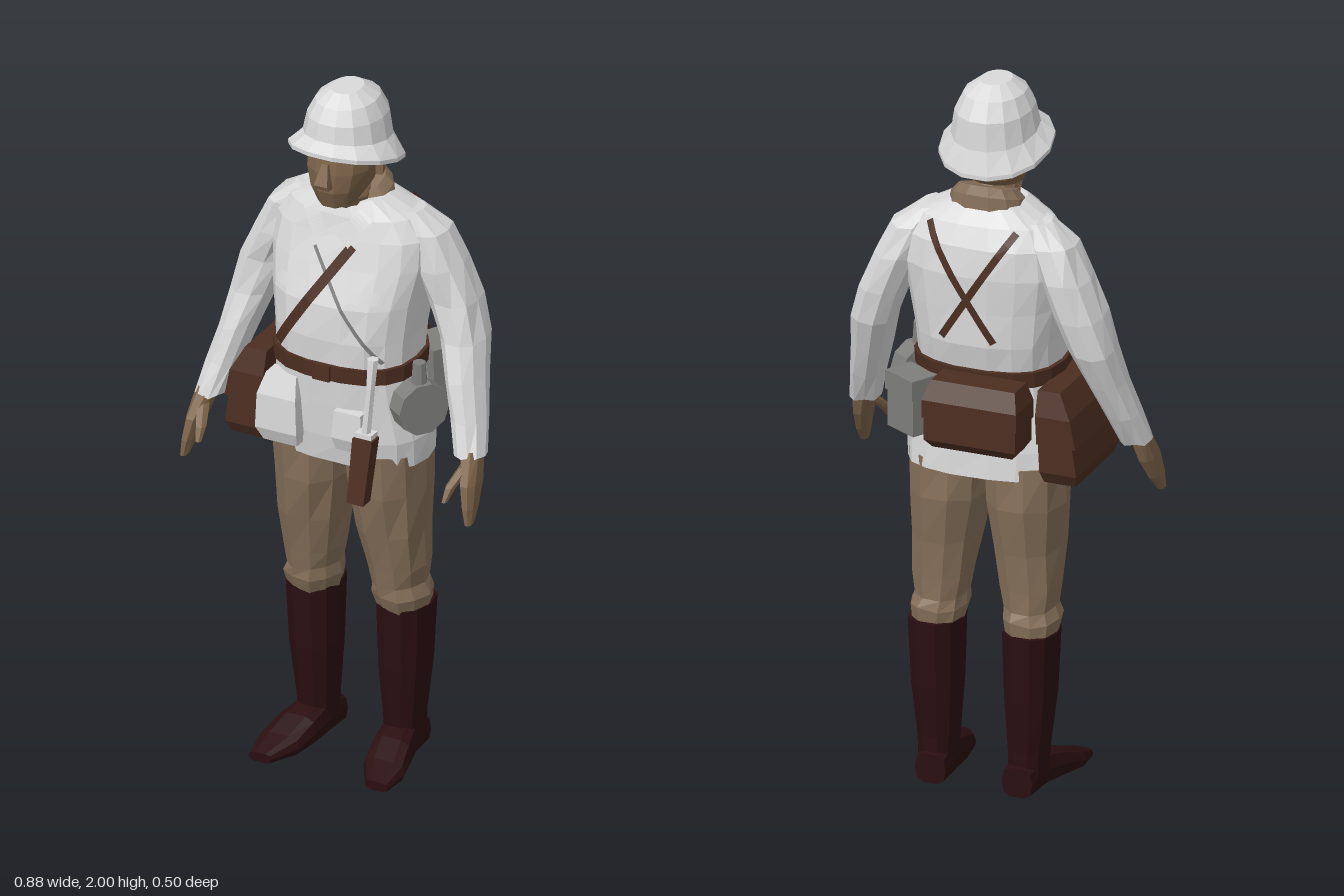
import * as THREE from 'three';

const mat = (name, color) =>
  new THREE.MeshStandardMaterial({ name, color, flatShading: true, side: THREE.DoubleSide });
const M = {
  cloth: mat('white cloth', 0xdadada),
  trousers: mat('khaki trousers', 0x86705a),
  skin: mat('skin', 0x7c6349),
  boots: mat('dark boot leather', 0x2a0e10),
  leather: mat('brown leather', 0x4c2e21),
  grey: mat('grey canvas', 0x7e7e7c),
};

// small repeatable wobble for cloth folds
const wobble = (i, j) => { const s = Math.sin(i * 12.99 + j * 78.23) * 43758.55; return s - Math.floor(s) - 0.5; };

// rings are [x, y, z, halfWidth, halfDepth, slope]; slope raises the ring towards +z
function loft(rings, { n = 10, p = 0.85, folds = 0 } = {}) {
  const pos = [], idx = [], k = n === 4 ? Math.SQRT2 : 1, e = n === 4 ? 1 : p;
  const pw = (v) => Math.sign(v) * Math.abs(v) ** e;
  rings.forEach(([x, y, z, rx, rz, slope = 0], i) => {
    for (let j = 0; j < n; j++) {
      const a = ((j + 0.5) / n) * Math.PI * 2, g = k + folds * wobble(i, j);
      const dz = rz * g * pw(Math.cos(a));
      pos.push(x + rx * g * pw(Math.sin(a)), y + slope * dz + folds * 0.1 * wobble(j, i), z + dz);
    }
  });
  for (let i = 0; i < rings.length - 1; i++) for (let j = 0; j < n; j++) {
    const a = i * n + j, b = i * n + (j + 1) % n;
    idx.push(a, b, b + n, a, b + n, a + n);
  }
  // end caps
  const top = (rings.length - 1) * n;
  for (let j = 1; j < n - 1; j++) idx.push(0, j + 1, j, top, top + j, top + j + 1);
  const g = new THREE.BufferGeometry();
  g.setAttribute('position', new THREE.Float32BufferAttribute(pos, 3));
  g.setIndex(idx);
  const flat = g.toNonIndexed();
  flat.computeVertexNormals();
  return flat;
}

// jacket profile, bottom to top
const TP = 0.8;
const TORSO = [
  [0, 0.92, -0.005, 0.222, 0.145], [0, 1.0, 0.005, 0.228, 0.15], [0, 1.1, 0.015, 0.208, 0.15],
  [0, 1.2, 0.022, 0.195, 0.152], [0, 1.3, 0.014, 0.202, 0.168], [0, 1.4, 0.008, 0.215, 0.166],
  [0, 1.5, -0.012, 0.232, 0.15], [0, 1.58, -0.02, 0.225, 0.132], [0, 1.635, -0.015, 0.185, 0.112],
  [0, 1.68, -0.005, 0.1, 0.085],
];

// depth of the jacket surface at (x, y); side is 1 for front, -1 for back
function torsoZ(x, y, side) {
  let i = 0;
  while (i < TORSO.length - 2 && TORSO[i + 1][1] < y) i++;
  const A = TORSO[i], B = TORSO[i + 1], t = (y - A[1]) / (B[1] - A[1]);
  const [cz, rx, rz] = [2, 3, 4].map((k) => A[k] + (B[k] - A[k]) * t);
  const s = Math.min(1, Math.abs(x) / rx) ** (1 / TP);
  return cz + side * rz * Math.sqrt(1 - s * s) ** TP;
}

// band lying on the jacket between two (x, y) points
function band([x0, y0], [x1, y1], w, side, off = 0.009) {
  const N = 10, pos = [], idx = [], len = Math.hypot(x1 - x0, y1 - y0);
  const nx = (-(y1 - y0) / len) * w / 2, ny = ((x1 - x0) / len) * w / 2;
  for (let i = 0; i <= N; i++) for (const s of [-1, 1]) {
    const x = x0 + (x1 - x0) * i / N + s * nx, y = y0 + (y1 - y0) * i / N + s * ny;
    pos.push(x, y, torsoZ(x, y, side) + side * off);
  }
  for (let i = 0; i < N; i++) {
    const a = i * 2;
    if (side > 0) idx.push(a, a + 2, a + 3, a, a + 3, a + 1);
    else idx.push(a, a + 3, a + 2, a, a + 1, a + 3);
  }
  const g = new THREE.BufferGeometry();
  g.setAttribute('position', new THREE.Float32BufferAttribute(pos, 3));
  g.setIndex(idx);
  g.computeVertexNormals();
  return g;
}

export function createModel() {
  const root = new THREE.Group();
  root.name = 'soldier';
  const add = (name, geo, m, at = [0, 0, 0], rot = [0, 0, 0]) => {
    const mesh = new THREE.Mesh(geo, m);
    mesh.name = name;
    mesh.position.set(...at);
    mesh.rotation.set(...rot);
    root.add(mesh);
    return mesh;
  };
  const box = (name, size, m, at, rot) => add(name, new THREE.BoxGeometry(...size), m, at, rot);

  // jacket, belt and collar
  add('jacket', loft(TORSO, { n: 18, p: TP, folds: 0.03 }), M.cloth);
  add('belt', loft([[0, 1.185, 0.02, 0.206, 0.163], [0, 1.23, 0.018, 0.208, 0.167]], { n: 18, p: TP }), M.leather);
  box('beltBuckle', [0.05, 0.045, 0.008], M.leather, [0, 1.207, 0.187]);
  add('collar', loft([[0, 1.63, -0.01, 0.115, 0.09, -0.2], [0, 1.685, -0.012, 0.1, 0.082, -0.3],
    [0, 1.71, -0.012, 0.078, 0.07, -0.35]], { n: 12 }), M.trousers);

  // head: neck, jaw, cheeks, crown
  add('head', loft([[0, 1.62, 0, 0.07, 0.065], [0, 1.69, 0.03, 0.066, 0.075, -0.1],
    [0, 1.7, 0.06, 0.058, 0.088, -0.2], [0, 1.735, 0.06, 0.076, 0.108], [0, 1.79, 0.055, 0.092, 0.112],
    [0, 1.87, 0.045, 0.092, 0.108]], { n: 12 }), M.skin);
  add('nose', loft([[0, 1.752, 0.162, 0.022, 0.024], [0, 1.765, 0.166, 0.02, 0.026],
    [0, 1.82, 0.155, 0.009, 0.012]], { n: 4 }), M.skin);
  for (const s of [-1, 1]) box('ear', [0.02, 0.05, 0.035], M.skin, [s * 0.094, 1.785, 0.03], [0, s * 0.3, 0]);

  // sun helmet: hollow underside, sloping brim, dome
  add('helmet', loft([[0, 1.85, 0.04, 0.1, 0.115, 0.25], [0, 1.808, 0.043, 0.153, 0.158, 0.28],
    [0, 1.82, 0.043, 0.153, 0.158, 0.28], [0, 1.862, 0.035, 0.116, 0.132, 0.17], [0, 1.925, 0.033, 0.104, 0.125, 0.05],
    [0, 1.97, 0.035, 0.082, 0.1], [0, 2.0, 0.04, 0.042, 0.055]], { n: 14, p: 0.95 }), M.cloth);

  for (const s of [-1, 1]) {
    const side = s > 0 ? 'left' : 'right';
    const mir = (rings) => rings.map(([x, ...r]) => [s * x, ...r]);

    // sleeve and hand
    add(side + 'Sleeve', loft(mir([[0.39, 1.01, 0.075, 0.042, 0.052], [0.368, 1.1, 0.035, 0.046, 0.062],
      [0.34, 1.2, 0, 0.052, 0.072], [0.315, 1.3, -0.035, 0.06, 0.08], [0.282, 1.4, -0.05, 0.066, 0.085],
      [0.24, 1.5, -0.045, 0.066, 0.09], [0.2, 1.59, -0.04, 0.062, 0.08], [0.15, 1.645, -0.03, 0.04, 0.05]]),
    { n: 10, folds: 0.12 }), M.cloth);
    add(side + 'Hand', loft(mir([[0.428, 0.845, 0.155, 0.01, 0.018], [0.422, 0.89, 0.135, 0.017, 0.038],
      [0.412, 0.95, 0.11, 0.024, 0.05], [0.395, 1.03, 0.075, 0.03, 0.038]]), { n: 8 }), M.skin);
    add(side + 'Thumb', loft(mir([[0.37, 0.91, 0.185, 0.008, 0.01], [0.375, 0.945, 0.16, 0.015, 0.018],
      [0.395, 0.99, 0.11, 0.018, 0.022]]), { n: 6 }), M.skin);

    // breeches
    add(side + 'TrouserLeg', loft(mir([[0.135, 0.44, -0.035, 0.066, 0.08], [0.133, 0.5, -0.028, 0.077, 0.092],
      [0.128, 0.53, -0.022, 0.07, 0.085], [0.126, 0.59, -0.015, 0.08, 0.092], [0.118, 0.7, -0.008, 0.09, 0.112],
      [0.11, 0.83, -0.004, 0.108, 0.132], [0.108, 0.95, 0, 0.11, 0.138]]), { n: 10, folds: 0.1 }), M.trousers);

    // tall boot: shaft, then foot lofted heel to toe
    add(side + 'BootShaft', loft(mir([[0.13, 0.05, -0.045, 0.05, 0.062], [0.13, 0.13, -0.042, 0.054, 0.066],
      [0.134, 0.28, -0.04, 0.068, 0.08], [0.136, 0.465, -0.04, 0.074, 0.09]]), { n: 10 }), M.boots);
    add(side + 'BootFoot', loft(mir([[0.125, -0.115, -0.045, 0.044, 0.042], [0.13, -0.02, -0.058, 0.05, 0.054],
      [0.143, 0.06, -0.048, 0.06, 0.044], [0.158, 0.13, -0.032, 0.062, 0.028], [0.175, 0.205, -0.02, 0.034, 0.014]]),
    { n: 10, p: 0.65 }).rotateX(Math.PI / 2), M.boots);

    // jacket details
    add(side + 'Lapel', band([s * 0.085, 1.655], [s * 0.03, 1.575], 0.045, 1, 0.012), M.cloth);
    add(side + 'BreastPocketFlap', band([s * 0.06, 1.44], [s * 0.165, 1.44], 0.035, 1, 0.008), M.cloth);

    // crossed back straps
    add(side + 'BackStrap', band([s * 0.125, 1.632], [-s * 0.075, 1.32], 0.02, -1), M.leather);
  }

  // front cross straps
  add('frontStrap', band([0.06, 1.57], [-0.15, 1.25], 0.028, 1, 0.011), M.leather);
  add('thinStrap', band([-0.05, 1.55], [0.16, 1.25], 0.01, 1), M.grey);

  // satchel on the right hip
  add('satchel', loft([[-0.255, 0.935, 0.0, 0.045, 0.13], [-0.257, 0.97, 0, 0.053, 0.15],
    [-0.242, 1.12, 0, 0.046, 0.15], [-0.225, 1.19, 0, 0.028, 0.13]], { n: 4 }), M.leather);
  add('satchelFlap', loft([[-0.253, 1.05, 0, 0.056, 0.154], [-0.243, 1.13, 0, 0.05, 0.154],
    [-0.225, 1.198, 0, 0.032, 0.134]], { n: 4 }), M.leather);

  // pack on the back of the belt
  add('backPack', loft([[-0.045, 1.03, -0.19, 0.115, 0.04], [-0.045, 1.055, -0.195, 0.132, 0.055],
    [-0.045, 1.16, -0.195, 0.132, 0.055], [-0.045, 1.21, -0.185, 0.118, 0.035]], { n: 4 }), M.leather);
  add('backPackLid', loft([[-0.045, 1.12, -0.195, 0.136, 0.06], [-0.045, 1.17, -0.195, 0.136, 0.06],
    [-0.045, 1.22, -0.185, 0.12, 0.04]], { n: 4 }), M.leather);

  // grey pouch behind the left hip
  box('rearPouch', [0.11, 0.15, 0.08], M.grey, [0.165, 1.11, -0.145], [0, -0.5, 0]);
  box('rearPouchFlap', [0.115, 0.055, 0.088], M.grey, [0.166, 1.168, -0.146], [0, -0.5, 0]);

  // canteen on the left hip
  add('canteen', new THREE.CylinderGeometry(0.075, 0.075, 0.06, 10), M.grey, [0.235, 1.115, 0.075], [0, -0.6, Math.PI / 2]);
  add('canteenCap', new THREE.CylinderGeometry(0.018, 0.022, 0.06, 8), M.grey, [0.235, 1.215, 0.075]);

  // front pouches
  add('rightPouch', loft([[-0.13, 0.96, 0.145, 0.05, 0.03], [-0.135, 1.0, 0.15, 0.062, 0.042],
    [-0.135, 1.1, 0.15, 0.058, 0.04], [-0.13, 1.16, 0.145, 0.045, 0.025]], { n: 4 }), M.cloth);
  add('leftPouch', loft([[0.075, 0.98, 0.145, 0.04, 0.025], [0.075, 1.02, 0.15, 0.046, 0.036],
    [0.075, 1.1, 0.155, 0.04, 0.028]], { n: 4 }), M.cloth);

  // sheathed blade hanging at the left front
  add('sheath', loft([[0.132, 0.87, 0.225, 0.025, 0.02], [0.138, 1.05, 0.195, 0.029, 0.022]], { n: 4 }), M.leather);
  add('bladeHandle', loft([[0.138, 1.05, 0.195, 0.014, 0.014], [0.152, 1.2, 0.193, 0.012, 0.014],
    [0.155, 1.285, 0.185, 0.016, 0.016]], { n: 6 }), M.cloth);
  box('bladeGuard', [0.05, 0.014, 0.035], M.cloth, [0.139, 1.06, 0.195]);
  return root;
}
